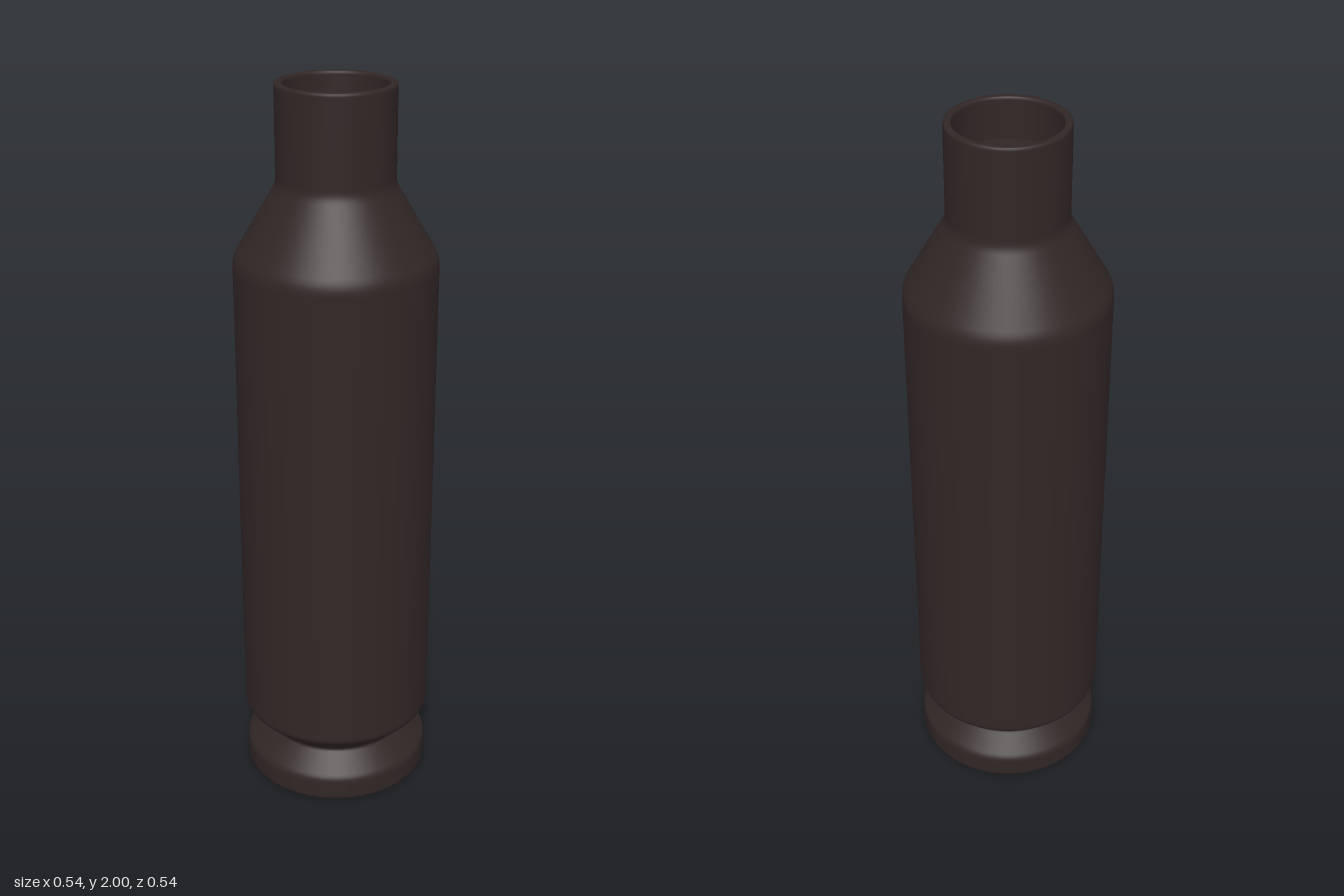
import * as THREE from 'three';

const SEGMENTS = 96;

// Turns a list of [radius, height, cornerRounding] into a profile with softened corners
function roundedProfile(corners) {
  const pts = corners.map(([r, y]) => new THREE.Vector2(r, y));
  const out = [pts[0]];
  for (let i = 1; i < pts.length - 1; i++) {
    const p = pts[i];
    const size = corners[i][2];
    const toward = (q, d) => p.clone().add(q.clone().sub(p).setLength(d));
    const a = toward(pts[i - 1], size);
    const b = toward(pts[i + 1], size);
    // extra points beside each corner keep the long walls evenly shaded
    out.push(toward(pts[i - 1], size * 1.3));
    out.push(...new THREE.QuadraticBezierCurve(a, p, b).getPoints(4));
    out.push(toward(pts[i + 1], size * 1.3));
  }
  out.push(pts[pts.length - 1]);
  return out;
}

export function createModel() {
  const group = new THREE.Group();
  group.name = 'casing';
  const darkBrown = new THREE.MeshStandardMaterial({ color: 0x312626 });
  darkBrown.name = 'darkBrown';

  const addTurned = (name, corners) => {
    const mesh = new THREE.Mesh(new THREE.LatheGeometry(roundedProfile(corners), SEGMENTS), darkBrown);
    mesh.name = name;
    group.add(mesh);
  };

  // Outer shell: base, rim, groove, body, shoulder, neck, rounded lip and inner wall
  addTurned('shell', [
    [0, 0],
    [0.264, 0, 0.012],
    [0.264, 0.07, 0.012],
    [0.204, 0.137, 0.008],
    [0.2685, 0.2, 0.012],
    [0.2695, 1.55, 0.02],
    [0.155, 1.745, 0.015],
    [0.155, 2, 0.008],
    [0.134, 2, 0.008],
    [0.134, 1.89],
  ]);

  // Closed floor inside the neck
  const floor = new THREE.Mesh(new THREE.CircleGeometry(0.134, SEGMENTS), darkBrown);
  floor.name = 'neckFloor';
  floor.rotation.x = -Math.PI / 2;
  floor.position.y = 1.89;
  group.add(floor);

  return group;
}
